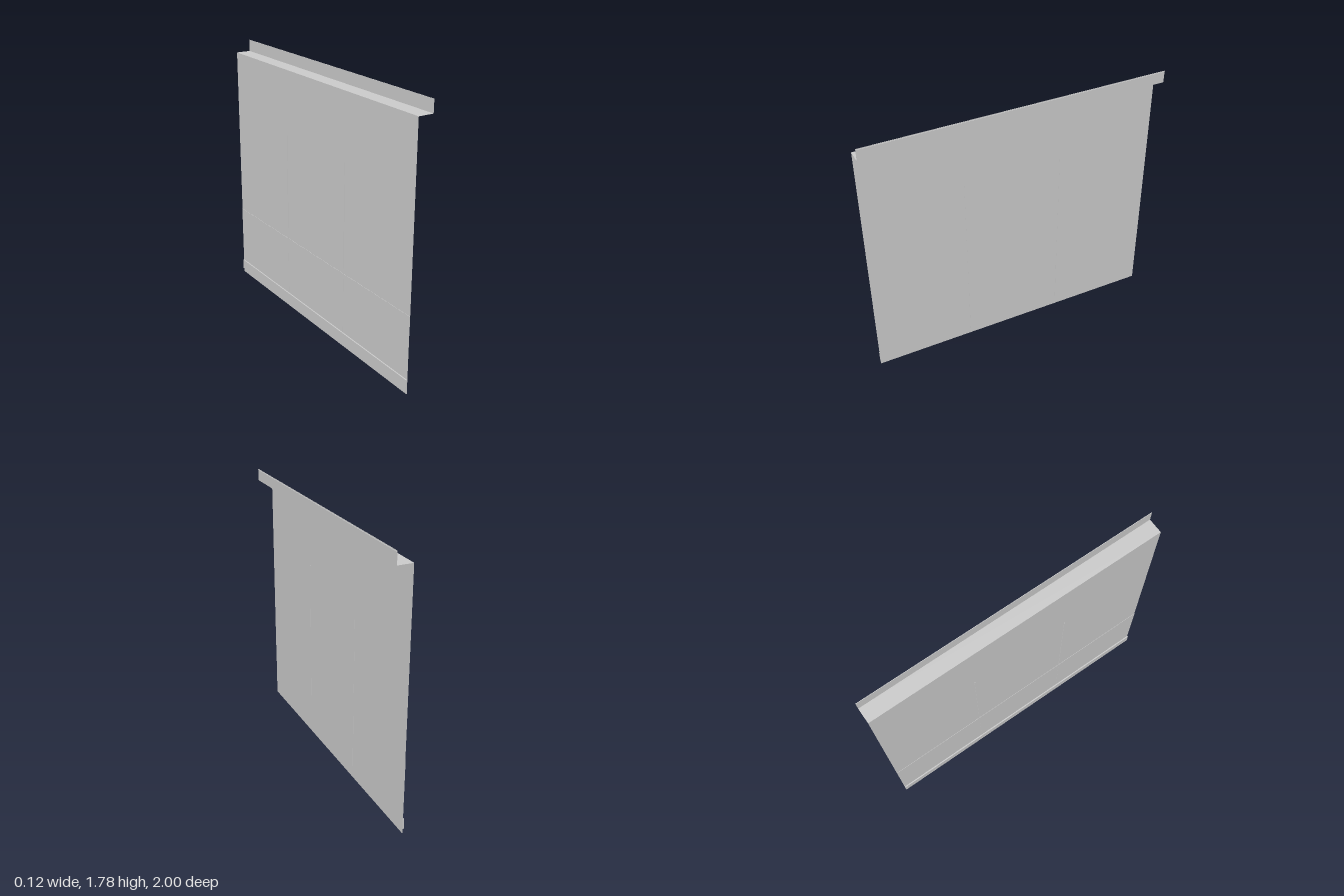
import * as THREE from 'three';

const LENGTH = 2, WALL_X = -0.047, LIP_X = 0.053;

export function createModel() {
  const model = new THREE.Group();
  const material = new THREE.MeshStandardMaterial({ color: 0xcccccc, side: THREE.DoubleSide });

  // Box given by its extents in x and y, and its centre and length along z
  function bar(name, x0, x1, y0, y1, z = 0, length = LENGTH) {
    const mesh = new THREE.Mesh(new THREE.BoxGeometry(x1 - x0, y1 - y0, length), material);
    mesh.position.set((x0 + x1) / 2, (y0 + y1) / 2, z);
    mesh.name = name;
    model.add(mesh);
  }

  // Wall: upper sheet lapping over the lower one
  bar('upperSheet', WALL_X - 0.001, WALL_X, 0.4, 1.7);
  bar('lowerSheet', WALL_X - 0.003, WALL_X - 0.001, 0, 0.52);

  // Folded top edge: ledge, upright lip and narrow hem
  bar('topLedge', WALL_X - 0.001, LIP_X + 0.001, 1.699, 1.7);
  bar('topLip', LIP_X, LIP_X + 0.001, 1.7, 1.78);
  bar('lipHem', LIP_X, LIP_X + 0.005, 1.774, 1.775);

  // Rail along the foot of the outer face
  bar('footRail', -0.058, WALL_X - 0.001, 0.03, 0.1);

  // Fine vertical seams dividing the wall into three bays
  for (const z of [-1 / 3, 1 / 3]) {
    bar('verticalSeam', WALL_X - 0.004, WALL_X + 0.001, 0.01, 1.26, z, 0.005);
  }
  return model;
}
